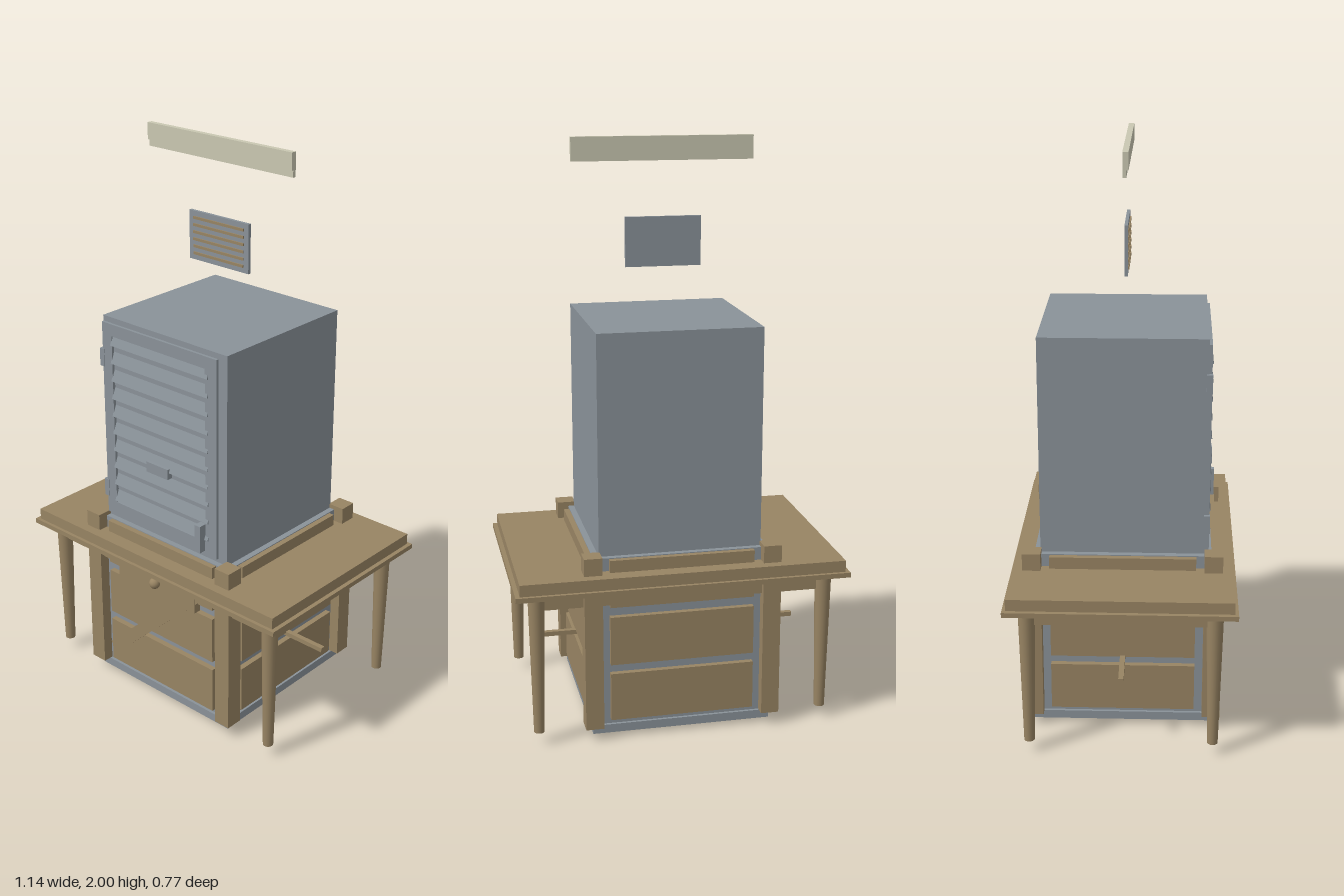
import * as THREE from 'three';

const mat = (name, color) => {
  const m = new THREE.MeshStandardMaterial({ color });
  m.name = name;
  return m;
};

export function createModel() {
  const steel = mat('grey steel', 0x8a9299);
  const wood = mat('brown wood', 0x988463);
  const cream = mat('cream paint', 0xcac8b2);
  const dark = mat('dark underside', 0x6b675c);
  const model = new THREE.Group();

  const add = (parent, name, geometry, material, x = 0, y = 0, z = 0) => {
    const m = new THREE.Mesh(geometry, material);
    m.name = name;
    m.position.set(x, y, z);
    parent.add(m);
    return m;
  };
  // Box given by its lower and upper corners
  const box = (parent, name, material, [x0, y0, z0], [x1, y1, z1]) =>
    add(parent, name, new THREE.BoxGeometry(x1 - x0, y1 - y0, z1 - z0), material,
      (x0 + x1) / 2, (y0 + y1) / 2, (z0 + z1) / 2);
  const group = (name) => {
    const g = new THREE.Group();
    g.name = name;
    model.add(g);
    return g;
  };

  // Crate: base, core, corner posts and side boards
  const crate = group('crate');
  box(crate, 'bottomPlate', dark, [-0.28, 0, -0.28], [0.28, 0.015, 0.28]);
  box(crate, 'baseSlab', steel, [-0.31, 0.015, -0.31], [0.31, 0.045, 0.31]);
  box(crate, 'crateCore', steel, [-0.3, 0.045, -0.3], [0.3, 0.645, 0.3]);
  for (const sx of [-1, 1]) for (const sz of [-1, 1])
    add(crate, 'cornerPost', new THREE.BoxGeometry(0.062, 0.615, 0.062), wood,
      sx * 0.307, 0.3525, sz * 0.307);
  for (let side = 0; side < 4; side++) {
    const wall = new THREE.Group();
    wall.name = 'crateSide';
    wall.rotation.y = side * Math.PI / 2;
    crate.add(wall);
    for (const [y0, y1] of [[0.065, 0.235], [0.268, 0.44], [0.475, 0.642]])
      box(wall, 'sideBoard', wood, [-0.248, y0, 0.29], [0.248, y1, 0.32]);
  }
  const brace = add(crate, 'diagonalBrace', new THREE.BoxGeometry(0.62, 0.046, 0.016), wood, 0, 0.34, 0.325);
  brace.rotation.z = 0.75;

  // Table around the crate
  const table = group('table');
  box(table, 'tableTop', wood, [-0.555, 0.56, -0.372], [0.555, 0.6, 0.372]);
  box(table, 'tableTopEdge', wood, [-0.57, 0.543, -0.384], [0.57, 0.56, 0.384]);
  for (const s of [-1, 1]) {
    add(table, 'longApron', new THREE.BoxGeometry(0.98, 0.06, 0.02), wood, 0, 0.515, s * 0.309);
    add(table, 'endApron', new THREE.BoxGeometry(0.02, 0.06, 0.6), wood, s * 0.495, 0.515, 0);
    for (const t of [-1, 1])
      add(table, 'tableLeg', new THREE.CylinderGeometry(0.029, 0.018, 0.5, 16), wood, s * 0.495, 0.295, t * 0.31);
  }
  box(table, 'stretcher', wood, [-0.48, 0.257, -0.009], [0.48, 0.273, 0.009]);
  box(table, 'drawerFront', wood, [-0.182, 0.445, 0.31], [0.182, 0.543, 0.337]);
  add(table, 'drawerKnob', new THREE.SphereGeometry(0.02, 16, 12), wood, 0, 0.495, 0.343);

  // Locker with louvred door
  const locker = group('locker');
  box(locker, 'lockerBody', steel, [-0.279, 0.645, -0.28], [0.279, 1.4, 0.28]);
  const rect = (path, x0, y0, x1, y1) =>
    path.moveTo(x0, y0).lineTo(x1, y0).lineTo(x1, y1).lineTo(x0, y1).closePath();
  const frame = new THREE.Shape();
  rect(frame, -0.276, 0.66, 0.242, 1.38);
  const opening = new THREE.Path();
  rect(opening, -0.232, 0.71, 0.192, 1.337);
  frame.holes.push(opening);
  add(locker, 'doorFrame', new THREE.ExtrudeGeometry(frame, { depth: 0.01, bevelEnabled: false }), steel, 0, 0, 0.28);
  for (let i = 0; i < 10; i++) {
    const slat = add(locker, 'louvreSlat', new THREE.BoxGeometry(0.44, 0.052, 0.006), steel,
      -0.015, 1.328 - i * 0.0652, 0.283);
    slat.rotation.x = -0.36;
  }
  box(locker, 'doorPlate', steel, [-0.07, 0.89, 0.28], [0.03, 0.928, 0.301]);
  box(locker, 'doorLatch', steel, [0.166, 0.675, 0.285], [0.19, 0.775, 0.316]);
  for (const y of [0.755, 1.25])
    box(locker, 'hinge', steel, [-0.289, y - 0.032, 0.272], [-0.268, y + 0.032, 0.292]);

  // Floating vent panel with narrow slots
  const vent = group('vent');
  box(vent, 'ventPanel', steel, [-0.13, 1.567, 0], [0.13, 1.735, 0.011]);
  for (let i = 0; i < 6; i++)
    add(vent, 'ventSlot', new THREE.BoxGeometry(0.22, 0.009, 0.006), wood, 0, 1.59 + i * 0.0245, 0.0125);

  // Floating header strip with a thinner lower lip
  const header = group('header');
  box(header, 'headerBoard', cream, [-0.31, 1.943, 0], [0.31, 2, 0.019]);
  box(header, 'headerLip', cream, [-0.31, 1.92, 0], [0.31, 1.943, 0.012]);

  return model;
}
